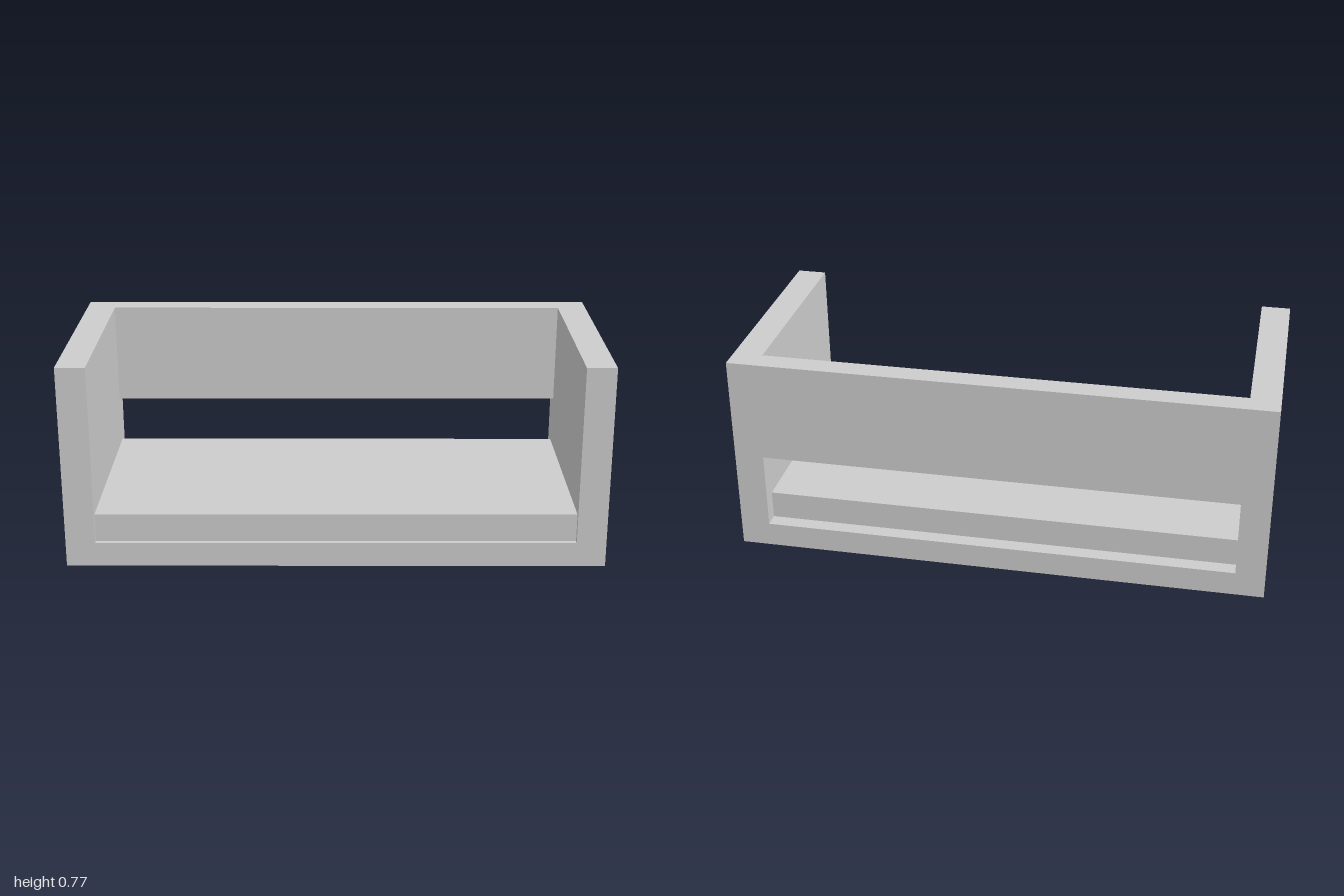
import * as THREE from 'three';

export function createModel() {
  const group = new THREE.Group();
  const grey = new THREE.MeshStandardMaterial({ color: 0xcccccc });
  grey.name = 'light grey';

  const W = 1, H = 0.773, D = 0.432;        // half width, height, half depth
  const inner = 0.89, floor = 0.093;        // inner half width, base thickness

  const add = (name, geometry, x, y, z) => {
    const mesh = new THREE.Mesh(geometry, grey);
    mesh.name = name;
    mesh.position.set(x, y, z);
    group.add(mesh);
  };
  // Box given by its lower and upper limits in y and z, spanning between the arms
  const span = (name, y0, y1, z0, z1) =>
    add(name, new THREE.BoxGeometry(inner * 2, y1 - y0, z1 - z0), 0, (y0 + y1) / 2, (z0 + z1) / 2);

  // Base and both arms as one U-shaped section
  const section = new THREE.Shape([
    [-W, 0], [W, 0], [W, H], [inner, H], [inner, floor],
    [-inner, floor], [-inner, H], [-W, H],
  ].map(([x, y]) => new THREE.Vector2(x, y)));
  add('baseAndArms', new THREE.ExtrudeGeometry(section, { depth: D * 2, bevelEnabled: false }), 0, 0, -D);

  // Backrest, leaving an open slot below it
  span('backrest', 0.387, H, -D, -0.347);

  // Seat cushion, set in slightly at front and back
  span('seat', floor, 0.2, -0.376, 0.414);

  return group;
}
